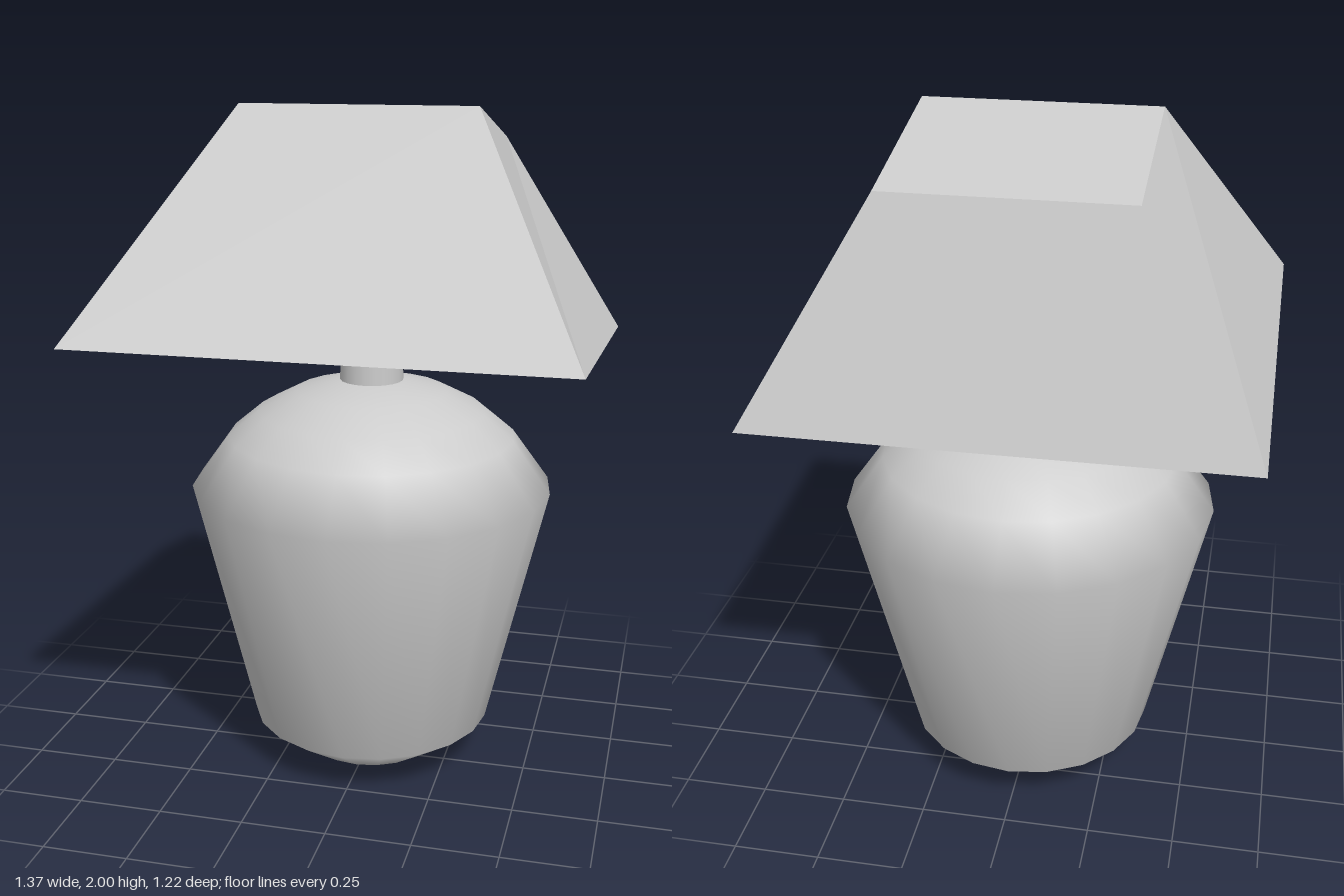
import * as THREE from 'three';

const SIDES = 20;
const AXIS_Z = -0.07; // the base stands slightly behind the centre

function material(extra = {}) {
  return new THREE.MeshStandardMaterial({ color: 0xcccccc, ...extra });
}

function turned(name, profile) {
  const points = profile.map(([r, y]) => new THREE.Vector2(r, y));
  const mesh = new THREE.Mesh(new THREE.LatheGeometry(points, SIDES), material());
  mesh.name = name;
  mesh.position.z = AXIS_Z;
  return mesh;
}

// Rectangle of four corners, counterclockwise from above; front and back given as [y, z]
function loop(halfWidth, [fy, fz], [by, bz]) {
  return [
    [halfWidth, fy, fz], [halfWidth, by, bz],
    [-halfWidth, by, bz], [-halfWidth, fy, fz],
  ];
}

// Tilted four-sided shade: closed on top, open underneath
function lampShade() {
  const rim = loop(0.685, [1.4, 0.613], [1.28, -0.6]);
  const top = loop(0.335, [2, 0.107], [1.885, -0.41]);
  const positions = [];
  const quad = (a, b, c, d) => positions.push(...a, ...b, ...c, ...a, ...c, ...d);
  for (let i = 0; i < 4; i++) {
    const j = (i + 1) % 4;
    quad(rim[i], rim[j], top[j], top[i]);
  }
  quad(...top);
  const geometry = new THREE.BufferGeometry();
  geometry.setAttribute('position', new THREE.Float32BufferAttribute(positions, 3));
  geometry.computeVertexNormals();
  const mesh = new THREE.Mesh(geometry, material({ flatShading: true, side: THREE.DoubleSide }));
  mesh.name = 'lampShade';
  return mesh;
}

export function createModel() {
  const lamp = new THREE.Group();
  lamp.name = 'tableLamp';

  // Vase-shaped base with rounded shoulders
  lamp.add(turned('base', [
    [0, 0], [0.2, 0.017], [0.365, 0.13], [0.542, 0.875],
    [0.43, 1.03], [0.34, 1.105], [0.225, 1.165], [0.1, 1.197], [0, 1.2],
  ]));

  // Neck, ending inside the shade
  const neck = new THREE.Mesh(new THREE.CylinderGeometry(0.086, 0.095, 0.35, SIDES), material());
  neck.name = 'neck';
  neck.position.set(0, 1.355, AXIS_Z);
  lamp.add(neck);

  lamp.add(lampShade());
  return lamp;
}
